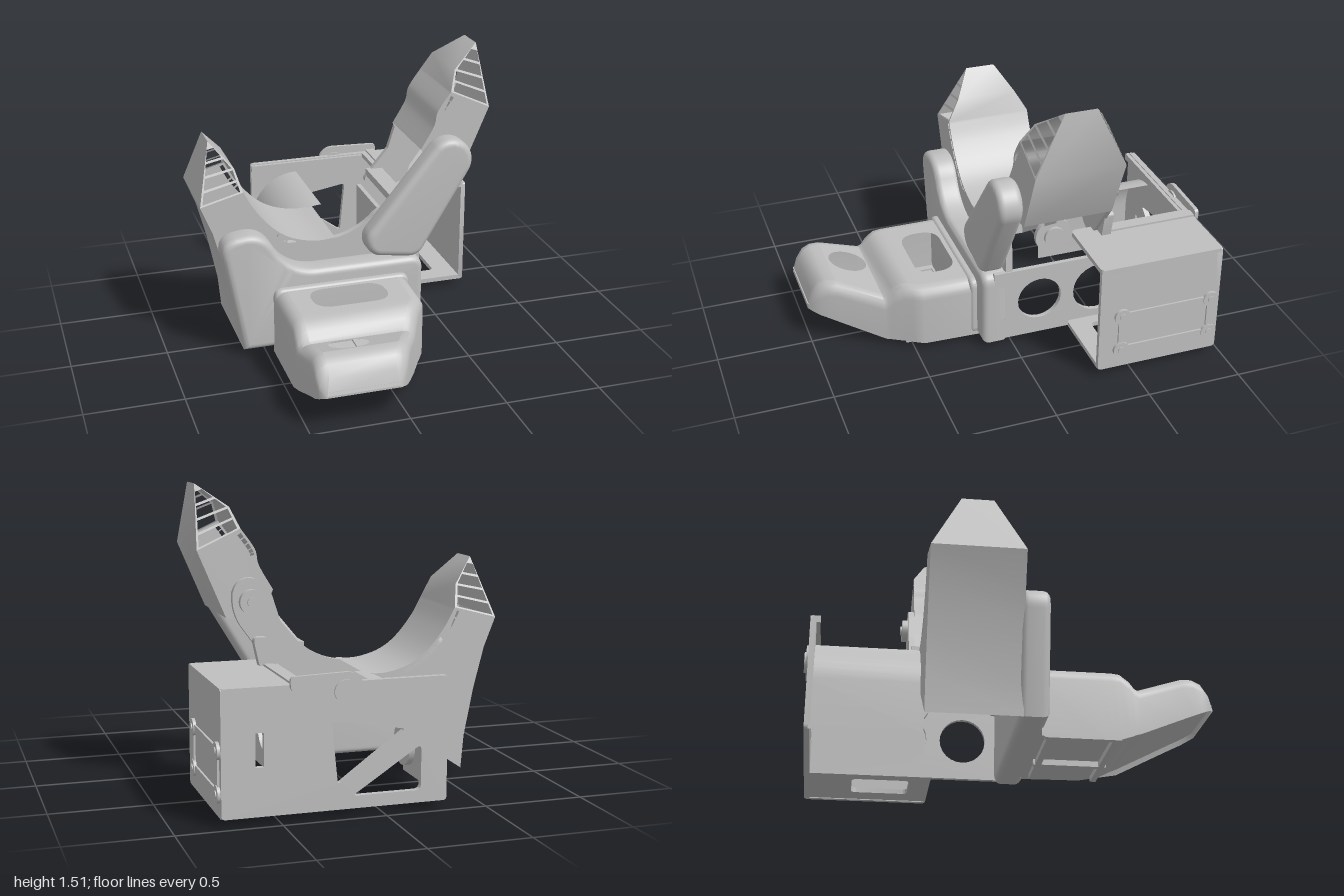
import * as THREE from 'three';
import { toCreasedNormals } from 'three/addons/utils/BufferGeometryUtils.js';

const grey = new THREE.MeshStandardMaterial({ color: 0xbfbfbf, side: THREE.DoubleSide });
grey.name = 'light grey';

// Polygon with rounded corners; each point is [x, y, cornerRadius]
function rounded(pts, Type = THREE.Shape) {
  const s = new Type();
  const n = pts.length;
  pts.forEach(([x, y, r = 0], i) => {
    const toward = ([a, b]) => {
      const l = Math.hypot(a - x, b - y);
      return [x + (a - x) * r / l, y + (b - y) * r / l];
    };
    const a = toward(pts[(i + n - 1) % n]);
    const b = toward(pts[(i + 1) % n]);
    if (i) s.lineTo(...a); else s.moveTo(...a);
    if (r) s.quadraticCurveTo(x, y, ...b);
  });
  s.closePath();
  return s;
}
const rect = (x0, y0, x1, y1, r = 0) => [[x0, y0, r], [x1, y0, r], [x1, y1, r], [x0, y1, r]];
const circle = (x, y, r) => new THREE.Path().absarc(x, y, r, 0, Math.PI * 2, true);
const hole = (pts) => rounded(pts, THREE.Path);
// Points on an arc, angles in degrees
const arc = (x, y, r, from, to, n = 10) => Array.from({ length: n + 1 }, (_, i) => {
  const a = THREE.MathUtils.degToRad(from + (to - from) * i / n);
  return [x + r * Math.cos(a), y + r * Math.sin(a)];
});

// Slab from a shape; axis z: (x,y), axis x: (z,y), axis y: (x,z); spans a..b on its axis
function slab(pts, axis, a, b, { holes = [], bevel = 0 } = {}) {
  const shape = rounded(pts);
  shape.holes.push(...holes);
  const g = new THREE.ExtrudeGeometry(shape, {
    depth: b - a - 2 * bevel, curveSegments: 12, bevelEnabled: bevel > 0,
    bevelThickness: bevel, bevelSize: bevel, bevelOffset: -bevel, bevelSegments: 5,
  });
  g.translate(0, 0, bevel);
  if (axis === 'z') g.translate(0, 0, a);
  if (axis === 'x') g.rotateY(-Math.PI / 2).translate(b, 0, 0);
  if (axis === 'y') g.rotateX(Math.PI / 2).translate(0, b, 0);
  return toCreasedNormals(g, 0.6);
}

// Sheet through rows of [x, y, z] points
function sheet(rows) {
  const n = rows[0].length, idx = [];
  for (let i = 0; i < rows.length - 1; i++)
    for (let j = 0; j < n - 1; j++) {
      const k = i * n + j;
      idx.push(k, k + n, k + 1, k + 1, k + n, k + n + 1);
    }
  const g = new THREE.BufferGeometry();
  g.setAttribute('position', new THREE.Float32BufferAttribute(rows.flat(2), 3));
  g.setIndex(idx);
  return toCreasedNormals(g, 0.6);
}

// Flat face whose points are placed by a rule
function face(pts, rule, holes = []) {
  const shape = rounded(pts);
  shape.holes.push(...holes);
  const g = new THREE.ShapeGeometry(shape, 14);
  const p = g.attributes.position;
  for (let i = 0; i < p.count; i++) p.setXYZ(i, ...rule(p.getX(i), p.getY(i)));
  g.computeVertexNormals();
  return g;
}

export function createModel() {
  const root = new THREE.Group();
  const add = (name, g, parent = root) => {
    const m = new THREE.Mesh(g, grey);
    m.name = name;
    parent.add(m);
  };
  const disc = (name, r, a, b, axis, x, y, z) => {
    const g = new THREE.CylinderGeometry(r, r, b - a, 28).translate(0, (a + b) / 2, 0);
    if (axis === 'z') g.rotateX(Math.PI / 2);
    if (axis === 'x') g.rotateZ(-Math.PI / 2);
    add(name, g.translate(x, y, z));
  };

  // Hollow jaw: outer and inner walls, slotted cheeks, and a tapered tip with ribbed windows
  function jaw(name, outer, innerKnots, O, I, tip, bulge, base, slotFrom) {
    const grp = new THREE.Group();
    grp.name = name;
    root.add(grp);
    const curve = new THREE.SplineCurve([...innerKnots, I].map((p) => new THREE.Vector2(...p)));
    const inner = curve.getPoints(24).map((p) => p.toArray());
    const cz = -0.19, half = 0.23;
    const dist = (x, y) => (x - O[0]) * (O[1] - I[1]) + (y - O[1]) * (I[0] - O[0]);
    const h = (x, y) => half - 0.15 * Math.max(0, dist(x, y) / dist(...tip));
    const wall = (path) => sheet(path.map(([x, y]) => [[x, y, cz - h(x, y)], [x, y, cz + h(x, y)]]));
    add('outerWall', wall([...outer, O, tip]), grp);
    add('innerWall', wall([...inner, bulge, tip]), grp);
    const mix = (p, q, t) => [p[0] + (q[0] - p[0]) * t, p[1] + (q[1] - p[1]) * t];
    const innerTip = (t) => (t < 0.45 ? mix(I, bulge, t / 0.45) : mix(bulge, tip, (t - 0.45) / 0.55));
    // Side on which the cheek lies, seen along the inner curve
    const side = Math.sign(I[0] - O[0]);
    const inset = (t, d) => {
      const p = curve.getPoint(t), v = curve.getTangent(t);
      return [p.x - side * v.y * d, p.y + side * v.x * d * (side > 0 ? -1 : 1) * side * -1];
    };
    const slots = () => {
      const list = [];
      for (let t = slotFrom; t < 0.92; t += 0.08)
        list.push(hole([inset(t, 0.012), inset(t + 0.065, 0.012), inset(t + 0.065, 0.032), inset(t, 0.032)]));
      return list;
    };
    for (const s of [-1, 1]) {
      const rule = (x, y) => [x, y, cz + s * h(x, y)];
      add('cheek', face([...outer, O, ...inner.slice().reverse(), ...base], rule, slots()), grp);
      const windows = [0.03, 0.25, 0.47, 0.69].map((t) => {
        const [a, b] = [t, t + 0.18].map((u) => [mix(O, tip, u), innerTip(u)]);
        return hole([mix(...a, 0.05), mix(...a, 0.94), mix(...b, 0.94), mix(...b, 0.05)]);
      });
      add('ribbedTip', face([O, I, bulge, tip], rule, windows), grp);
    }
  }
  jaw('fixedJaw',
    [[-0.62, 0.03], [-0.635, 0.2], [-0.685, 0.45], [-0.74, 0.66]],
    [[-0.09, 0.56], [-0.2, 0.555], [-0.33, 0.59], [-0.43, 0.66], [-0.52, 0.77]],
    [-0.8, 0.81], [-0.575, 0.87], [-0.72, 1.11], [-0.605, 0.98], [[-0.09, 0.4]], 0.35);
  jaw('movingJaw',
    [[0.615, 0.87]],
    [[0.38, 1.0], [0.45, 1.12], [0.47, 1.2]],
    [0.755, 1.2], [0.54, 1.3], [0.73, 1.51], [0.58, 1.4], [[0.46, 0.84]], 0.55);

  // Linkage carrying the moving jaw
  add('frontLink', slab([...arc(0.505, 0.96, 0.12, -30, 135, 18), ...arc(0.135, 0.56, 0.088, 137, 262),
    ...arc(0.29, 0.535, 0.085, 266, 328)], 'z', 0.04, 0.17, { bevel: 0.035 }));
  add('backLink', slab([[0.28, 0.62, 0.04], [0.36, 0.57, 0.03], [0.6, 0.9, 0.1], [0.58, 1.07, 0.09],
    [0.42, 1.06, 0.1]], 'z', -0.45, -0.42));
  add('crossBar', slab(rect(0.23, 0.7, 0.32, 0.74), 'z', -0.44, 0.06));
  add('crossBarBracket', slab([[0.21, 0.68, 0.03], [0.3, 0.6, 0.03], [0.52, 0.84], [0.42, 0.93]], 'z', -0.45, -0.42));
  disc('backPivot', 0.06, -0.48, -0.42, 'z', 0.5, 0.95, 0);
  disc('backPivotScrew', 0.025, -0.49, -0.42, 'z', 0.5, 0.95, 0);
  disc('frontPivot', 0.06, 0.0, 0.06, 'z', 0.5, 0.95, 0);

  // Front body plate with the shoulder behind the fixed jaw
  add('frontBody', slab([[-0.62, 0.03], [-0.735, 0.655, 0.11], [-0.5, 0.685, 0.11], [-0.37, 0.445, 0.16],
    [0.36, 0.445, 0.07], [0.36, 0.03]], 'z', 0.02, 0.165, { bevel: 0.035 }));
  add('frontBodyRim', slab(rect(-0.46, 0.03, 0.27, 0.37, 0.05), 'z', 0.1, 0.2, { bevel: 0.02 }));
  // Upright lug joining the cradle to the moving jaw's pivot
  add('pivotLug', slab([[-0.42, 0.4], [-0.36, 0.56], [-0.2, 0.55], [-0.05, 0.555, 0.08], [0.08, 0.62, 0.05],
    [0.16, 0.7, 0.06], [0.34, 0.7, 0.09], [0.355, 0.4]], 'z', 0, 0.035));

  // Side plate with two round openings
  add('sidePlate', slab(rect(-0.96, 0.04, 0.1, 0.445), 'x', 0.335, 0.36, {
    holes: [circle(-0.15, 0.25, 0.12), circle(-0.48, 0.25, 0.14), hole(rect(0.045, 0.15, 0.085, 0.36, 0.015))],
  }));

  // Back plate with weight-saving cutouts
  add('backPlate', slab(rect(-0.31, 0.04, 0.78, 0.64, 0.02), 'z', -0.97, -0.94, {
    holes: [hole(rect(0.58, 0.27, 0.62, 0.43)),
      hole([[0.16, 0.1, 0.03], [-0.18, 0.1, 0.03], [-0.18, 0.32, 0.03]]),
      hole([[0.26, 0.46, 0.02], [0.23, 0.16, 0.02], [-0.1, 0.4, 0.02]])],
  }));
  add('backPlateTopRim', slab(rect(-0.31, 0.6, 0.36, 0.635), 'z', -0.96, -0.92));

  // Motor box, open to the front
  add('boxOuterWall', slab(rect(-0.97, 0.04, -0.31, 0.64, 0.02), 'x', 0.755, 0.78));
  add('boxTop', slab(rect(0.37, -0.97, 0.78, -0.31, 0.03), 'y', 0.615, 0.64));
  add('boxBottom', slab(rect(0.36, -0.97, 0.78, -0.31, 0.02), 'y', 0.045, 0.07, {
    holes: [hole(rect(0.42, -0.72, 0.64, -0.42, 0.03))],
  }));
  for (const y of [0.15, 0.35]) {
    add('railAcross', slab(rect(-0.92, y - 0.018, -0.43, y + 0.018), 'x', 0.77, 0.79));
    for (const z of [-0.43, -0.92]) {
      disc('standoff', 0.042, 0.76, 0.795, 'x', 0, y, z);
      disc('standoffScrew', 0.018, 0.76, 0.8, 'x', 0, y, z);
    }
  }
  for (const z of [-0.43, -0.92])
    add('railUpright', slab(rect(z - 0.018, 0.15, z + 0.018, 0.35), 'x', 0.77, 0.79));

  // Rear hinge arm along the top of the box
  add('hingePlate', slab([[0.1, 0.62, 0.05], [0.14, 0.53, 0.05], [0.27, 0.52, 0.05], [0.46, 0.62, 0.02],
    [0.46, 0.68, 0.02], [0.15, 0.69, 0.05]], 'z', -0.99, -0.97));
  add('hingeArm', slab(rect(0.4, 0.63, 0.45, 0.65), 'z', -0.99, -0.44));
  add('hingeTab', slab([[0.38, 0.6], [0.46, 0.6], [0.5, 0.78, 0.03], [0.42, 0.78, 0.03]], 'z', -0.49, -0.44));
  disc('rearHinge', 0.055, -1.0, -0.96, 'z', 0.2, 0.6, 0);

  // Rounded cover between the back plate and the fixed jaw
  const cover = [[-0.31, 0.04], ...arc(-0.04, 0.3, 0.27, 180, 90, 12)];
  add('roundedCover', sheet([-0.95, -0.4].map((z) => cover.map(([x, y]) => [x, y, z]))));
  disc('coverBoss', 0.11, -0.3, -0.27, 'x', 0, 0.2, -0.48);
  disc('coverBossHub', 0.06, -0.29, -0.25, 'x', 0, 0.2, -0.48);

  // Front tray: stations of [z, left, right, top, bottom]
  const st = [
    [0.15, -0.46, 0.265, 0.36, 0], [0.45, -0.46, 0.255, 0.36, 0], [0.5, -0.46, 0.225, 0.36, 0],
    [0.54, -0.46, 0.2, 0.355, 0], [0.585, -0.46, 0.175, 0.32, 0.015], [0.61, -0.46, 0.16, 0.285, 0.025],
    [0.63, -0.46, 0.15, 0.275, 0.03], [0.85, -0.46, 0.05, 0.345, 0.12], [0.9, -0.46, 0.025, 0.345, 0.14],
    [0.94, -0.46, 0.005, 0.325, 0.155], [0.975, -0.45, -0.02, 0.27, 0.17], [1, -0.42, -0.05, 0.19, 0.18]];
  const flank = ([z, l, r, top, bot], s) => {
    const c = Math.min(0.065, (top - bot) / 2), x = s < 0 ? l : r;
    const low = s < 0 ? bot : Math.max(bot, 0.03);
    const corner = arc(x - s * c, top - c, c, s < 0 ? 180 : 0, 90, 5);
    return [[x, low, z], ...corner.map(([a, b]) => [a, b, z])];
  };
  const sides = [-1, 1].map((s) => st.map((q) => flank(q, s)));
  sides.forEach((rows) => add('traySide', sheet(rows)));
  const topEdge = st.map((_, i) => sides.map((rows) => rows[i][6]));
  const topPanel = (i, j, opening) => {
    const [[a, b], [c, d]] = [topEdge[i], topEdge[j]];
    const rule = (x, z) => [x, a[1] + (c[1] - a[1]) * (z - a[2]) / (c[2] - a[2]), z];
    add('trayTop', face([a, b, d, c].map(([x, , z]) => [x, z]), rule, [opening]));
  };
  topPanel(0, 1, hole(rect(-0.3, 0.22, 0.1, 0.43, 0.1)));
  add('trayTopMiddle', sheet(topEdge.slice(1, 7)));
  topPanel(6, 7, circle(-0.23, 0.735, 0.1));
  add('trayTopFront', sheet(topEdge.slice(7)));
  add('trayNose', sheet([sides[0].at(-1), sides[1].at(-1)]));
  add('trayFloor', sheet(st.map(([z, l, r, , b]) => [[l, b + 0.03, z], [r, b + 0.03, z]])));
  // Ribs and feet under the tray
  for (const x of [-0.44, -0.05]) add('trayFoot', slab(rect(x, 0.001, x + 0.03, 0.04), 'z', 0.17, 0.54));
  for (const z of [0.18, 0.5]) add('trayRib', slab(rect(-0.44, 0.001, 0.18, 0.04), 'z', z, z + 0.03));

  return root;
}
